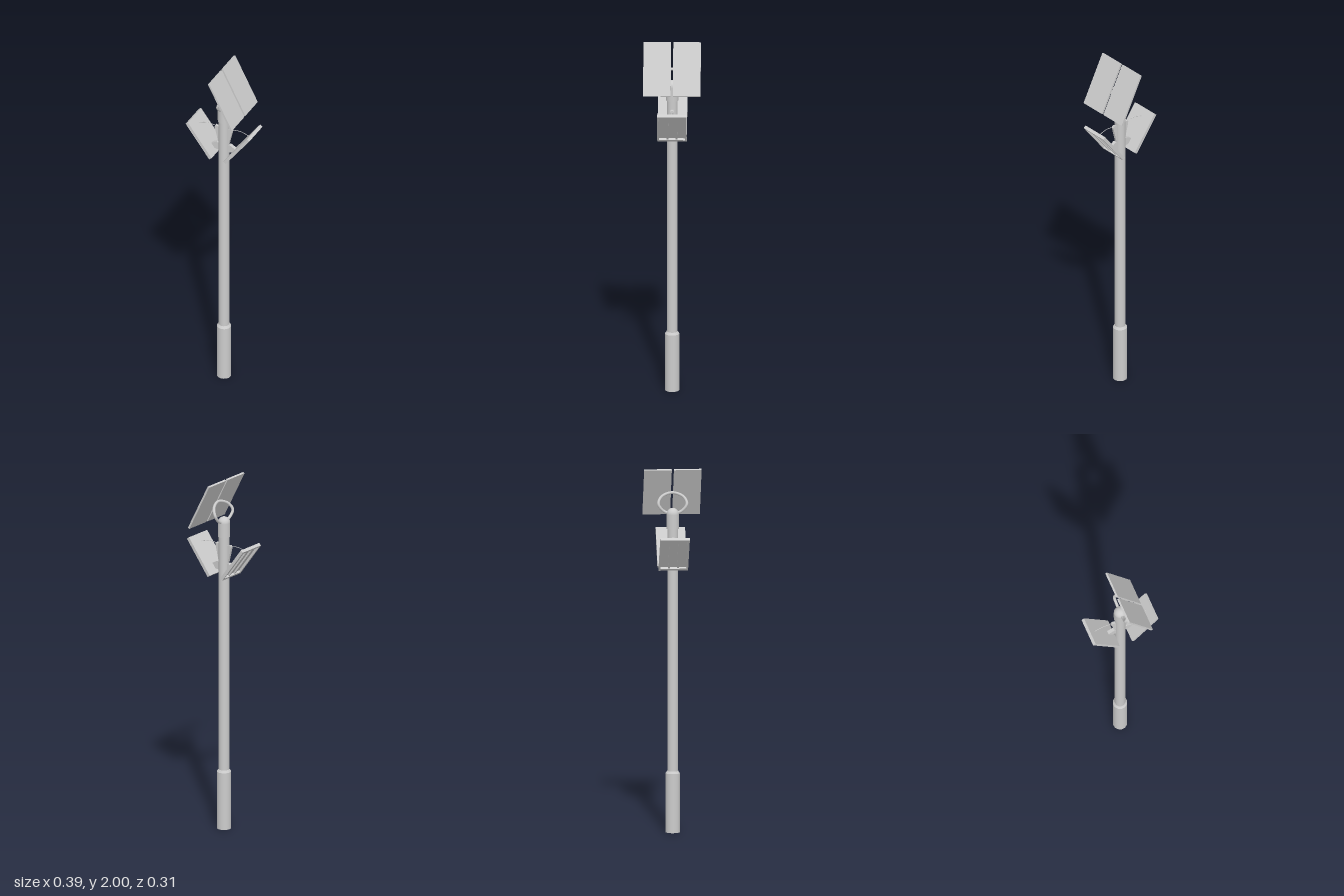
import * as THREE from 'three';

const grey = new THREE.MeshStandardMaterial({ color: 0xcccccc });

function add(parent, name, geometry, x = 0, y = 0, z = 0) {
  const mesh = new THREE.Mesh(geometry, grey);
  mesh.name = name;
  mesh.position.set(x, y, z);
  parent.add(mesh);
  return mesh;
}

const box = (w, h, d) => new THREE.BoxGeometry(w, h, d);
const rod = (r, h) => new THREE.CylinderGeometry(r, r, h, 32);

// Flat plate cut from an outline in the xy plane, centred on z = 0
function plate(points, depth) {
  const shape = new THREE.Shape(points.map(([x, y]) => new THREE.Vector2(x, y)));
  return new THREE.ExtrudeGeometry(shape, { depth, bevelEnabled: false }).translate(0, 0, -depth / 2);
}

function tube(points, radius, closed = false, segments = 24) {
  const curve = new THREE.CatmullRomCurve3(points.map(p => new THREE.Vector3(...p)), closed);
  return new THREE.TubeGeometry(curve, segments, radius, 10, closed);
}

// Post with a thicker sleeve at the foot and a domed cap
function addPost(parent) {
  add(parent, 'pole', rod(0.029, 1.7), 0, 0.85);
  add(parent, 'baseSleeve', rod(0.039, 0.325), 0, 0.1625);
  add(parent, 'sleeveShoulder', new THREE.CylinderGeometry(0.03, 0.039, 0.013, 32), 0, 0.3315);
  add(parent, 'capSleeve', rod(0.034, 0.08), 0, 1.71);
  const dome = new THREE.SphereGeometry(0.034, 32, 10, 0, Math.PI * 2, 0, Math.PI / 2);
  add(parent, 'capDome', dome, 0, 1.75);
}

// Pair of tilted solar panels held by a hoop through the cap
function addSolarPanels(parent) {
  const panels = new THREE.Group();
  panels.name = 'solarPanels';
  panels.position.set(0.0535, 1.865, 0);
  panels.rotation.z = Math.atan2(0.459, 0.888);
  for (const side of [-1, 1]) add(panels, 'solarPanel', box(0.011, 0.298, 0.15), 0, 0, side * 0.081);
  parent.add(panels);

  const hoop = [[0, 1.755, 0], [0, 1.765, 0.045], [0, 1.805, 0.077], [0.022, 1.842, 0.06], [0.04, 1.862, 0]];
  const mirrored = hoop.slice(1, -1).reverse().map(([x, y, z]) => [x, y, -z]);
  add(parent, 'panelHoop', tube([...hoop, ...mirrored], 0.008, true, 64));
}

// Lamp: shallow open tray with bars, facing outward and down
function makeLamp() {
  const length = 0.238, width = 0.16, depth = 0.018, rim = 0.01;
  const lamp = new THREE.Group();
  lamp.name = 'lamp';
  lamp.position.set(0.1145, 1.5485, 0);
  lamp.rotation.z = -Math.atan2(0.6, 0.8);
  add(lamp, 'lampBack', box(0.005, length, width), -depth / 2 + 0.0025);
  for (const s of [-1, 1]) {
    add(lamp, 'sideRim', box(depth, length, rim), 0, 0, s * (width - rim) / 2);
    add(lamp, 'endRim', box(depth, rim * 1.4, width - 2 * rim), 0, s * (length - rim * 1.4) / 2);
    add(lamp, 'lampBar', box(0.01, length - 2.8 * rim, 0.01), 0, 0, s * 0.024);
  }
  return lamp;
}

// One side: lamp, its brackets and the stay wire
function makeLampArm() {
  const arm = new THREE.Group();
  arm.name = 'lampArm';
  arm.add(makeLamp());
  add(arm, 'lowerBracket', plate([[0.02, 1.475], [0.052, 1.48], [0.072, 1.507], [0.038, 1.525], [0.02, 1.515]], 0.02));
  add(arm, 'upperBracket', plate([[0.022, 1.53], [0.033, 1.53], [0.054, 1.618], [0.048, 1.63], [0.022, 1.622]], 0.014));
  add(arm, 'stayWire', tube([[0.045, 1.622], [0.1, 1.627], [0.148, 1.614]], 0.0016));
  const clip = new THREE.TorusGeometry(0.006, 0.0016, 6, 12, Math.PI);
  const fork = add(arm, 'wireClip', clip.rotateZ(Math.PI / 2).rotateX(Math.PI / 2), 0.154, 1.614);
  fork.rotation.z = Math.atan2(0.8, 0.6);
  return arm;
}

export function createModel() {
  const model = new THREE.Group();
  model.name = 'solarLampPost';
  addPost(model);
  addSolarPanels(model);
  for (const turn of [0, Math.PI]) {
    const arm = makeLampArm();
    arm.rotation.y = turn;
    model.add(arm);
  }
  return model;
}
